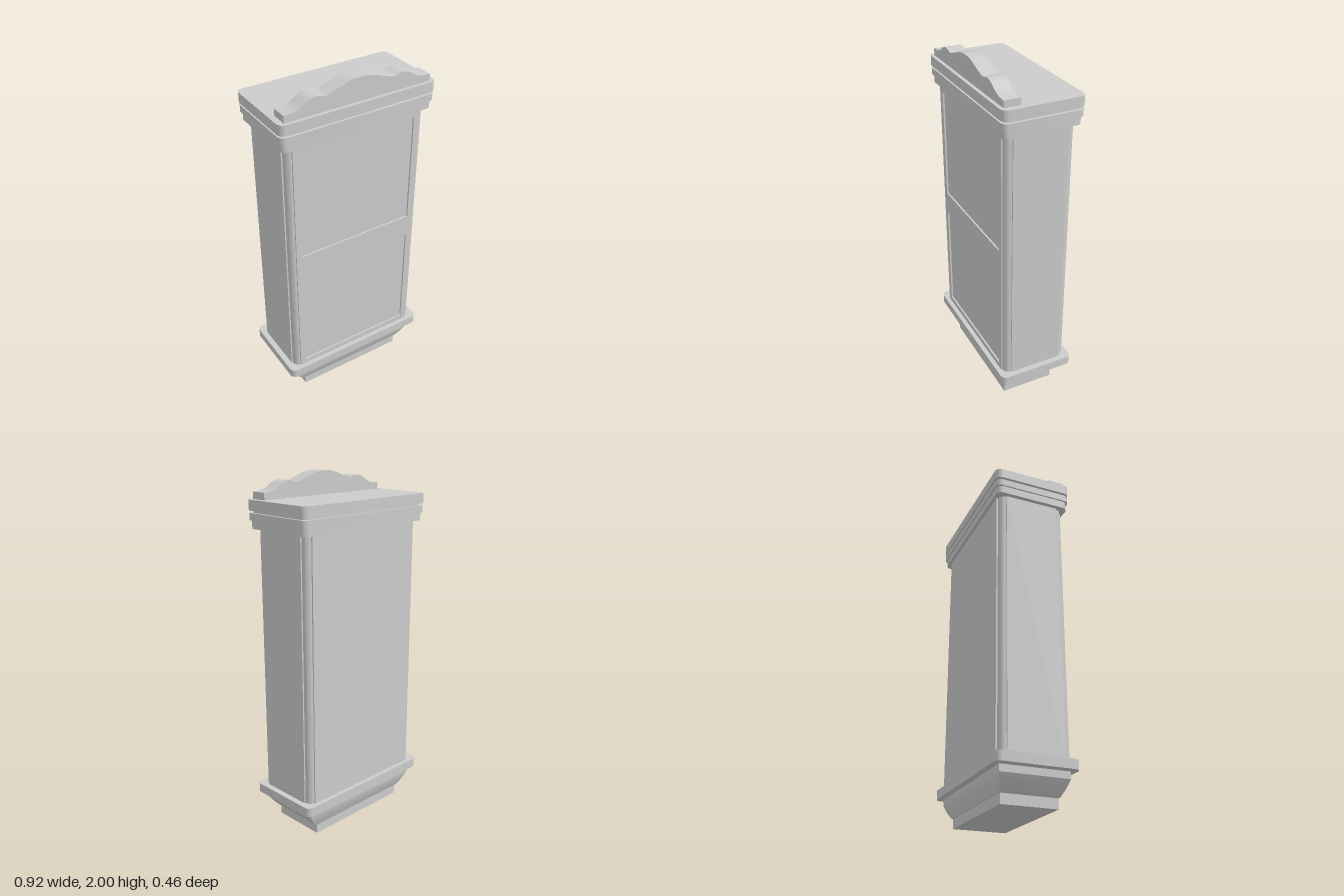
import * as THREE from 'three';
import { toCreasedNormals } from 'three/addons/utils/BufferGeometryUtils.js';

const material = new THREE.MeshStandardMaterial({ color: 0xcccccc });

function addPart(group, name, geometry) {
  const mesh = new THREE.Mesh(toCreasedNormals(geometry, 0.5), material);
  mesh.name = name;
  group.add(mesh);
}

// Plan outline raised from y0 to y1
function raise(shape, y0, y1) {
  const g = new THREE.ExtrudeGeometry(shape, { depth: y1 - y0, bevelEnabled: false, curveSegments: 8 });
  return g.rotateX(-Math.PI / 2).translate(0, y0, 0);
}

function roundedRect(hx, hz, r) {
  const s = new THREE.Shape();
  s.absarc(hx - r, hz - r, r, 0, Math.PI / 2);
  s.absarc(r - hx, hz - r, r, Math.PI / 2, Math.PI);
  s.absarc(r - hx, r - hz, r, Math.PI, Math.PI * 1.5);
  s.absarc(hx - r, r - hz, r, Math.PI * 1.5, Math.PI * 2);
  return s;
}

// Cabinet plan: flat sides stepping in to a round bead at each corner
function cabinetPlan() {
  const corner = [[0.425, 0.155]];
  for (let i = 0; i <= 8; i++) {
    const a = (i / 8) * Math.PI / 2;
    corner.push([0.385 + 0.032 * Math.cos(a), 0.155 + 0.037 * Math.sin(a)]);
  }
  corner.push([0.385, 0.19]);
  const points = [];
  for (const [sx, sz] of [[1, 1], [-1, 1], [-1, -1], [1, -1]]) {
    const c = corner.map(([x, z]) => new THREE.Vector2(x * sx, z * sz));
    // the back face has no applied frame, so it reaches full depth itself
    if (sz > 0) c[c.length - 1].y = 0.2;
    points.push(...(sx * sz > 0 ? c : c.reverse()));
  }
  return new THREE.Shape(points);
}

function rectPath(Type, x0, y0, x1, y1) {
  return new Type([[x0, y0], [x1, y0], [x1, y1], [x0, y1]].map(([x, y]) => new THREE.Vector2(x, y)));
}

export function createModel() {
  const group = new THREE.Group();
  group.name = 'cabinet';

  // Foot and flared base: a four-sided turned profile, stretched to a rectangle
  const profile = [[0, 0], [0.82, 0], [0.82, 0.055], [0.845, 0.057], [0.9, 0.08], [0.955, 0.108],
    [1, 0.137], [1, 0.18], [0, 0.18]].map(([r, y]) => new THREE.Vector2(r * Math.SQRT2, y));
  const base = new THREE.LatheGeometry(profile, 4, Math.PI / 4).scale(0.409, 1, 0.191);
  addPart(group, 'base', base);

  // Plinth slab and cornice mouldings
  const slabs = [
    ['plinthSlab', 0.458, 0.226, 0.175, 0.228],
    ['corniceLower', 0.449, 0.218, 1.72, 1.764],
    ['corniceMiddle', 0.458, 0.226, 1.764, 1.803],
    ['corniceNeck', 0.443, 0.212, 1.803, 1.815],
    ['corniceTop', 0.46, 0.228, 1.815, 1.872],
  ];
  for (const [name, hx, hz, y0, y1] of slabs) addPart(group, name, raise(roundedRect(hx, hz, 0.035), y0, y1));

  // Main case with corner beads
  addPart(group, 'case', raise(cabinetPlan(), 0.228, 1.72));

  // Front frame leaving two shallow recessed panels
  const frame = rectPath(THREE.Shape, -0.385, 0.228, 0.385, 1.72);
  frame.holes.push(rectPath(THREE.Path, -0.35, 0.26, 0.35, 0.905), rectPath(THREE.Path, -0.35, 1.04, 0.35, 1.68));
  addPart(group, 'frontFrame',
    new THREE.ExtrudeGeometry(frame, { depth: 0.012, bevelEnabled: false }).translate(0, 0, 0.188));

  // Wavy crest board
  const half = [[0.38, 1.912], [0.34, 1.926], [0.29, 1.955], [0.25, 1.963], [0.2, 1.953], [0.15, 1.966],
    [0.06, 1.995]].map(([x, y]) => new THREE.Vector2(x, y));
  const wave = [...half, new THREE.Vector2(0, 2), ...half.map((p) => new THREE.Vector2(-p.x, p.y)).reverse()];
  const crest = new THREE.Shape();
  crest.moveTo(-0.427, 1.87);
  crest.lineTo(0.427, 1.87);
  crest.lineTo(0.427, 1.91);
  crest.lineTo(0.38, 1.912);
  crest.splineThru(wave.slice(1));
  crest.lineTo(-0.427, 1.91);
  addPart(group, 'crest',
    new THREE.ExtrudeGeometry(crest, { depth: 0.093, bevelEnabled: false, curveSegments: 4 }).translate(0, 0, 0.115));

  return group;
}
